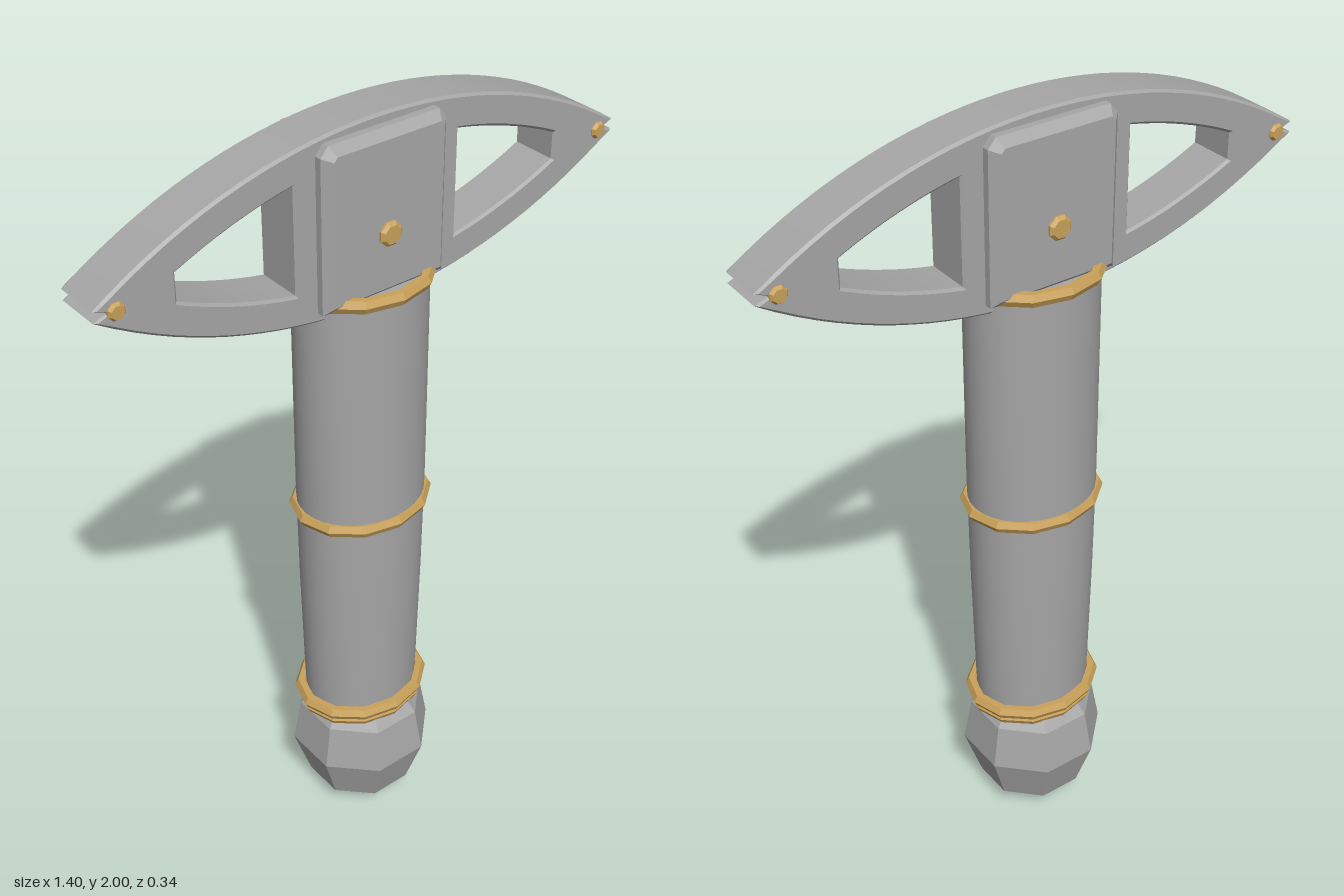
import * as THREE from 'three';
import { toCreasedNormals } from 'three/addons/utils/BufferGeometryUtils.js';

const steel = new THREE.MeshStandardMaterial({ color: 0xa6a6a6 });
steel.name = 'steel grey';
const brass = new THREE.MeshStandardMaterial({ color: 0xc9a15a });
brass.name = 'brass';
const facetedSteel = steel;

const DEPTH = 0.85; // the grip is an oval, narrower front to back
const MID = 1.777; // height of the head's long axis

// Height of the head's curved edge above its long axis, less an inset
const ARC = 1.27;
const rise = (x, inset = 0) => Math.sqrt((ARC - inset) ** 2 - x * x) - (ARC - 0.223);

// Points along one curved edge; side is 1 for the top, -1 for the bottom
function arcPoints(x0, x1, side, inset, n) {
  return Array.from({ length: n + 1 }, (_, i) => {
    const x = x0 + ((x1 - x0) * i) / n;
    return new THREE.Vector2(x, MID + side * rise(x, inset));
  });
}

// Bevelled plate centred on z = 0
function plate(shape, thickness, bevel) {
  const geometry = new THREE.ExtrudeGeometry(shape, {
    depth: thickness - 2 * bevel, bevelEnabled: true, bevelSegments: 1,
    bevelSize: bevel, bevelThickness: bevel, bevelOffset: -bevel,
  });
  geometry.translate(0, 0, -thickness / 2 + bevel);
  return toCreasedNormals(geometry, 0.4);
}

export function createModel() {
  const model = new THREE.Group();
  const add = (name, geometry, material) => {
    const mesh = new THREE.Mesh(geometry, material);
    mesh.name = name;
    model.add(mesh);
    return mesh;
  };

  // Faceted eight-sided pommel with a flat side to the front
  const profile = [[0, 0], [0.05, 0], [0.13, 0.065], [0.172, 0.2], [0.152, 0.32], [0.13, 0.35], [0, 0.35]]
    .map(([r, y]) => new THREE.Vector2(r / Math.cos(Math.PI / 8), y));
  const pommel = new THREE.LatheGeometry(profile, 8, Math.PI / 8).toNonIndexed();
  pommel.computeVertexNormals();
  add('pommel', pommel, facetedSteel);

  // Smooth oval grip, slightly narrower towards the pommel
  const gripProfile = [[0, 0.345], [0.15, 0.345], [0.154, 0.45], [0.161, 0.75], [0.165, 1.05], [0.165, 1.6], [0, 1.6]]
    .map(([r, y]) => new THREE.Vector2(r, y));
  const grip = new THREE.LatheGeometry(gripProfile, 32);
  grip.scale(1, 1, DEPTH);
  add('grip', toCreasedNormals(grip, 0.6), steel);

  // Brass rings around the grip
  for (const [name, y, radius] of [
    ['upperRing', 1.604, 0.165], ['middleRing', 0.99, 0.165],
    ['lowerRing', 0.383, 0.165], ['pommelRing', 0.36, 0.157],
  ]) {
    const ring = new THREE.TorusGeometry(radius, 0.018, 6, 12);
    ring.rotateX(Math.PI / 2);
    ring.scale(1, 1, DEPTH);
    ring.translate(0, y, 0);
    add(name, toCreasedNormals(ring, 0.3), brass);
  }

  // Lens-shaped head with a notch at each tip
  const tip = 0.7;
  const head = new THREE.Shape([
    ...arcPoints(-tip, tip, -1, 0, 32),
    new THREE.Vector2(0.665, MID),
    ...arcPoints(tip, -tip, 1, 0, 32),
    new THREE.Vector2(-0.665, MID),
  ]);
  // A window on each side of the centre block
  for (const s of [1, -1]) {
    head.holes.push(new THREE.Path([
      ...arcPoints(s * 0.22, s * 0.51, 1, 0.076, 8),
      ...arcPoints(s * 0.51, s * 0.22, -1, 0.076, 8),
    ]));
  }
  add('head', plate(head, 0.125, 0.006), steel);

  // Centre block clamping the head to the grip
  const block = new THREE.Shape();
  block.moveTo(-0.166, 1.59);
  block.lineTo(0.166, 1.59);
  block.lineTo(0.166, 1.955);
  block.lineTo(0.146, 1.978);
  block.lineTo(-0.146, 1.978);
  block.lineTo(-0.166, 1.955);
  block.closePath();
  add('centreBlock', plate(block, 0.2, 0.02), steel);

  // Brass pins passing right through the head, with chamfered ends
  for (const [name, x, y, radius, half] of [
    ['centrePin', 0, 1.743, 0.03, 0.112],
    ['leftTipPin', 0.65, MID, 0.021, 0.072],
    ['rightTipPin', -0.65, MID, 0.021, 0.072],
  ]) {
    const pinProfile = [[0, -half], [radius * 0.75, -half], [radius, -half + 0.007],
      [radius, half - 0.007], [radius * 0.75, half], [0, half]]
      .map(([r, h]) => new THREE.Vector2(r, h));
    const pin = new THREE.LatheGeometry(pinProfile, 8, Math.PI / 8);
    pin.rotateX(Math.PI / 2);
    pin.translate(x, y, 0);
    add(name, toCreasedNormals(pin, 0.3), brass);
  }

  return model;
}
